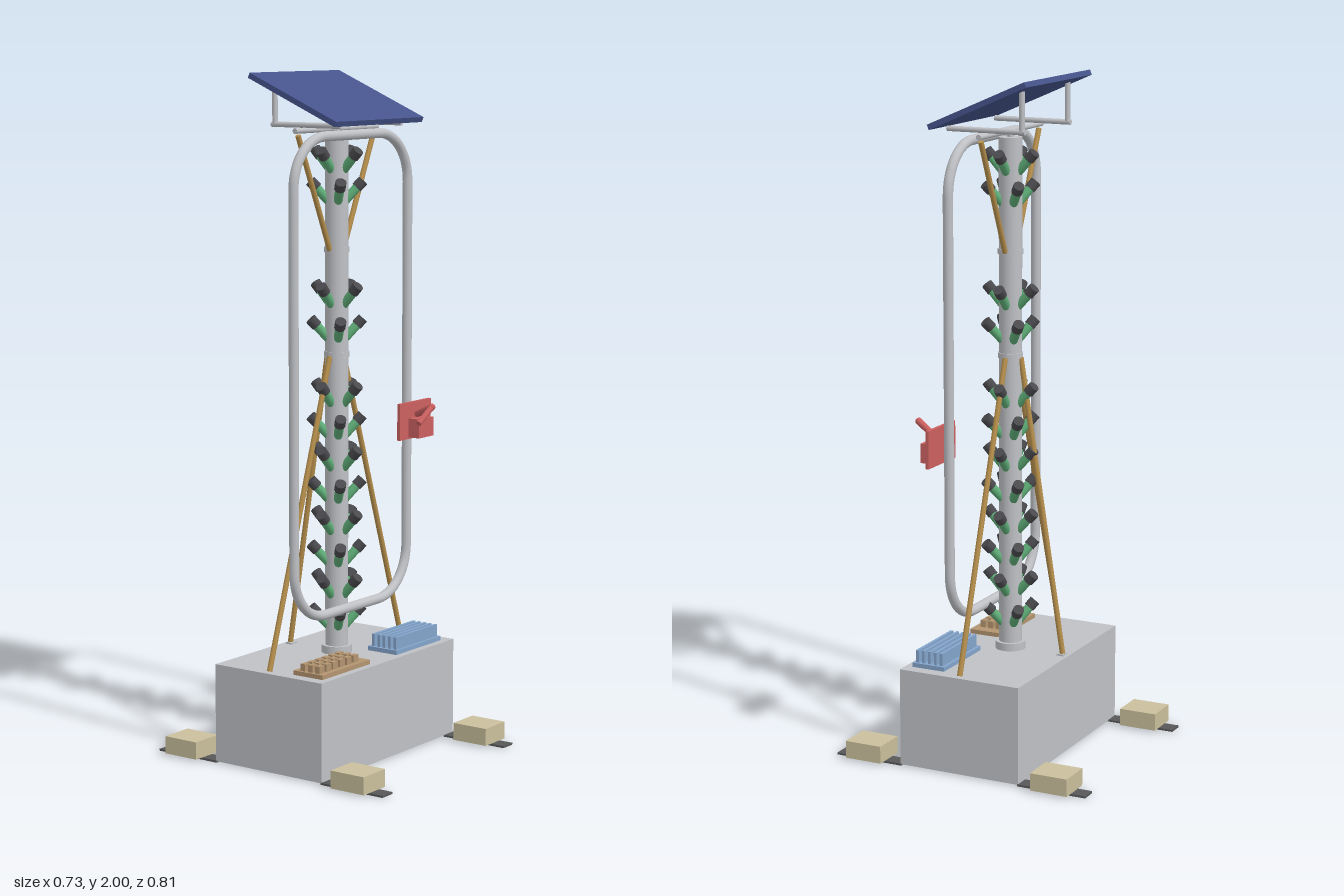
import * as THREE from 'three';

const mat = (name, color) => {
  const m = new THREE.MeshStandardMaterial({ color });
  m.name = name;
  return m;
};
const V = (x, y, z) => new THREE.Vector3(x, y, z);

export function createModel() {
  const root = new THREE.Group();
  root.name = 'plantTower';
  const M = {
    grey: mat('light grey', 0xbfc1c5),
    dark: mat('dark grey', 0x585858),
    tan: mat('sand', 0xcabf9c),
    gold: mat('bamboo', 0xb68f4c),
    brown: mat('brown', 0xb3946f),
    blue: mat('light blue', 0x84a5cc),
    panel: mat('panel blue', 0x46548c),
    red: mat('red', 0xcc6060),
    green: mat('green', 0x5fae78),
    cap: mat('cap grey', 0x4a4a4e),
  };

  const add = (geo, material, name, parent = root) => {
    const m = new THREE.Mesh(geo, material);
    m.name = name;
    parent.add(m);
    return m;
  };
  // Box from its lower and upper limits on each axis
  const box = (x0, x1, y0, y1, z0, z1, material, name, parent) => {
    const m = add(new THREE.BoxGeometry(x1 - x0, y1 - y0, z1 - z0), material, name, parent);
    m.position.set((x0 + x1) / 2, (y0 + y1) / 2, (z0 + z1) / 2);
    return m;
  };
  // Round bar between two points
  const rod = (a, b, r, material, name, parent, sides = 16) => {
    const d = b.clone().sub(a);
    const m = add(new THREE.CylinderGeometry(r, r, d.length(), sides), material, name, parent);
    m.position.copy(a).add(b).multiplyScalar(0.5);
    m.quaternion.setFromUnitVectors(V(0, 1, 0), d.normalize());
    return m;
  };

  // Base tank, outrigger strips and ballast blocks
  box(-0.335, 0.335, 0.004, 0.295, -0.192, 0.192, M.grey, 'base');
  for (const sx of [-1, 1]) {
    for (const sz of [-1, 1]) {
      const foot = new THREE.Group();
      foot.name = 'outrigger';
      root.add(foot);
      const strip = box(-0.024, 0.024, 0, 0.006, -0.108, 0.108, M.dark, 'strip', foot);
      strip.position.set(sx * 0.313, 0.003, sz * 0.297);
      const block = box(-0.052, 0.052, 0, 0.052, -0.058, 0.058, M.tan, 'ballastBlock', foot);
      block.position.set(sx * 0.312, 0.032, sz * 0.302);
    }
  }

  // Mast with collar and joint rings
  rod(V(0, 0.295, 0), V(0, 1.82, 0), 0.034, M.grey, 'mast', root, 32);
  rod(V(0, 0.295, 0), V(0, 0.318, 0), 0.045, M.grey, 'mastCollar', root, 32);
  for (const y of [1.185, 1.49]) {
    rod(V(0, y - 0.008, 0), V(0, y + 0.008, 0), 0.037, M.grey, 'mastJoint', root, 32);
  }

  // Planting ports: four per level, turned by 45 degrees on every other level
  const levels = [0.425, 0.52, 0.615, 0.71, 0.805, 0.90, 0.995, 1.09, 1.28, 1.38, 1.68, 1.77];
  levels.forEach((y, i) => {
    const ring = new THREE.Group();
    ring.name = 'portRing';
    root.add(ring);
    for (let k = 0; k < 4; k++) {
      const a = (k + (i % 2 ? 0 : 0.5)) * Math.PI / 2;
      const at = (r, h) => V(Math.sin(a) * r, y + h, Math.cos(a) * r);
      rod(at(0.022, -0.052), at(0.066, -0.004), 0.0135, M.green, 'port', ring);
      rod(at(0.058, -0.012), at(0.077, 0.008), 0.0165, M.cap, 'portCap', ring);
    }
  });

  // Closed pipe loop in front of the mast
  const loop = new THREE.CurvePath();
  const W = 0.28, Y0 = 0.438, Y1 = 1.822, R = 0.145, Z = 0.055;
  const corners = [[W - R, Y0 + R, -90], [W - R, Y1 - R, 0], [-W + R, Y1 - R, 90], [-W + R, Y0 + R, 180]];
  const pts = [];
  for (const [cx, cy, start] of corners) {
    for (let s = 0; s <= 12; s++) {
      const a = THREE.MathUtils.degToRad(start + s * 7.5);
      pts.push(V(cx + R * Math.cos(a), cy + R * Math.sin(a), Z));
    }
  }
  pts.push(pts[0].clone());
  for (let i = 1; i < pts.length; i++) loop.add(new THREE.LineCurve3(pts[i - 1], pts[i]));
  add(new THREE.TubeGeometry(loop, 240, 0.0145, 14, true), M.grey, 'pipeLoop');

  // Bamboo stays with small anchor plates
  for (const s of [-1, 1]) {
    rod(V(s * 0.034, 1.18, 0), V(s * 0.326, 0.3, 0), 0.008, M.gold, 'sideStay');
    rod(V(s * 0.034, 1.49, 0), V(s * 0.185, 1.825, 0), 0.008, M.gold, 'upperStay');
  }
  rod(V(0, 1.18, -0.034), V(0, 0.3, -0.172), 0.008, M.gold, 'backStay');
  box(-0.013, 0.013, 0.295, 0.3, -0.18, -0.158, M.grey, 'stayAnchor');

  // Roof frame and tilted solar panel
  rod(V(0, 1.815, 0), V(0, 1.84, 0), 0.009, M.grey, 'frameStub');
  rod(V(-0.2, 1.838, 0), V(0.2, 1.838, 0), 0.008, M.grey, 'crossBar');
  for (const s of [-1, 1]) {
    const x = s * 0.148;
    rod(V(x, 1.853, 0.125), V(x, 1.853, -0.12), 0.008, M.grey, 'frameRail');
    rod(V(x, 1.85, -0.11), V(x, 1.967, -0.11), 0.008, M.grey, 'framePost');
  }
  const tilt = Math.atan2(0.132, 0.305);
  const panel = add(new THREE.BoxGeometry(0.43, 0.016, 0.332), M.panel, 'solarPanel');
  panel.position.set(0, 1.9265, 0);
  panel.rotation.x = tilt;

  // Seed tray with three rows of blocks
  const seeds = new THREE.Group();
  seeds.name = 'seedTray';
  root.add(seeds);
  box(-0.3, -0.068, 0.295, 0.308, 0.066, 0.17, M.brown, 'tray', seeds);
  for (let i = 0; i < 6; i++) {
    for (let j = 0; j < 3; j++) {
      const x = -0.28 + i * 0.033, z = 0.094 + j * 0.0255;
      box(x - 0.012, x + 0.012, 0.306, 0.329, z - 0.008, z + 0.008, M.brown, 'seedBlock', seeds);
    }
  }

  // Finned tray
  const fins = new THREE.Group();
  fins.name = 'finTray';
  root.add(fins);
  box(0.066, 0.298, 0.295, 0.308, 0.066, 0.17, M.blue, 'tray', fins);
  for (let i = 0; i < 5; i++) {
    const z = 0.08 + i * 0.0195;
    box(0.074, 0.29, 0.306, 0.345, z - 0.0045, z + 0.0045, M.blue, 'fin', fins);
  }

  // Control board with box and jointed arm
  const control = new THREE.Group();
  control.name = 'controlBoard';
  root.add(control);
  box(0.195, 0.357, 0.91, 1.02, 0.08, 0.09, M.red, 'board', control);
  box(0.24, 0.316, 0.915, 0.972, 0.089, 0.128, M.red, 'controlBox', control);
  const arm = [V(0.28, 0.982, 0.094), V(0.233, 1.015, 0.178), V(0.176, 0.972, 0.17)];
  rod(arm[0], arm[1], 0.01, M.red, 'upperArm', control);
  rod(arm[1], arm[2], 0.009, M.red, 'foreArm', control);
  add(new THREE.SphereGeometry(0.0105, 16, 12), M.red, 'elbow', control).position.copy(arm[1]);

  return root;
}
